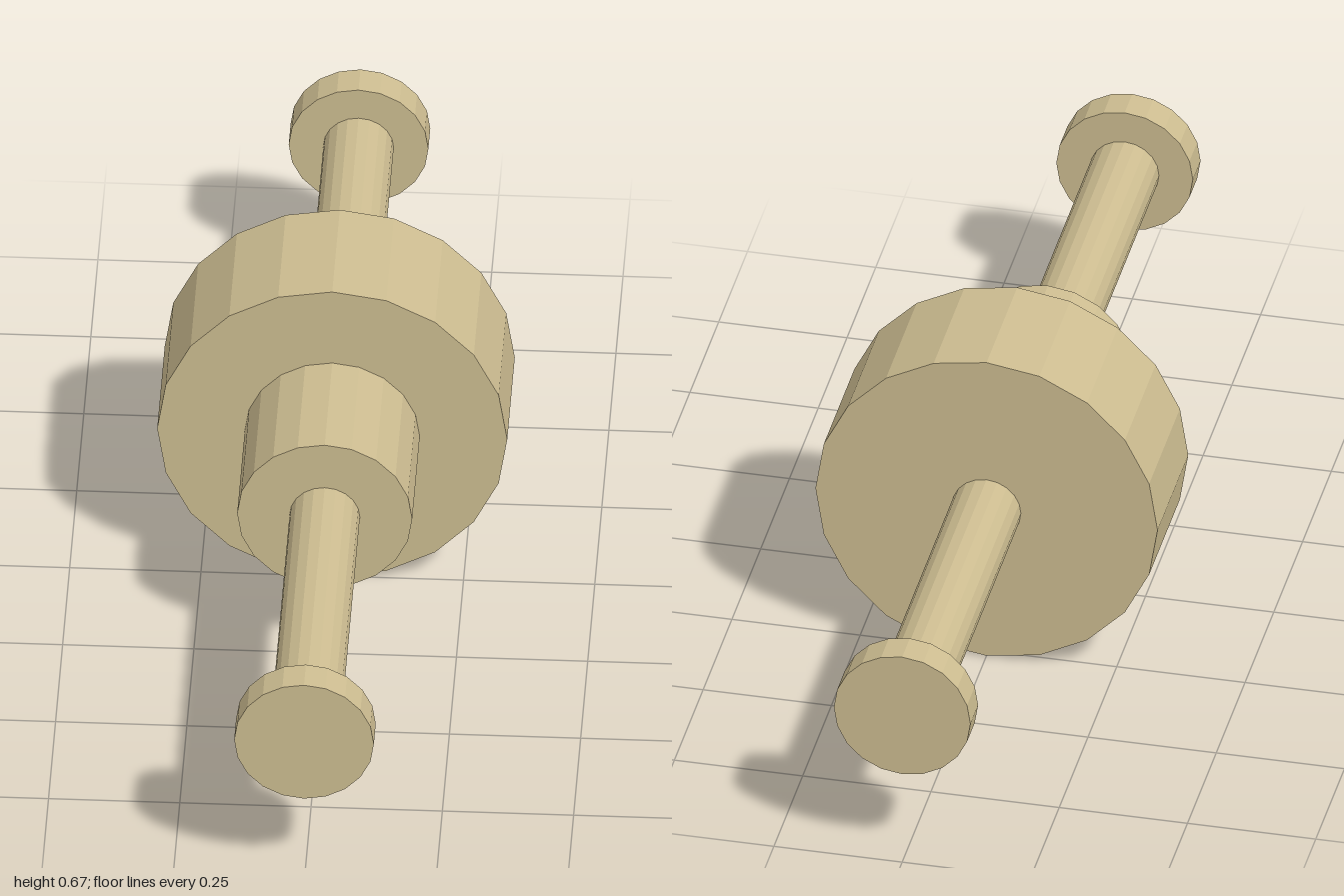
import * as THREE from 'three';

const AXIS_Y = 1 / 3;
const SIDES = 20;

export function createModel() {
  const model = new THREE.Group();
  model.name = 'wheelAndAxle';
  const material = new THREE.MeshStandardMaterial({ color: 0xcdbd91, flatShading: true });

  // Faceted disc or rod lying along z, between two depths
  const addCylinder = (name, radius, zBack, zFront) => {
    const geometry = new THREE.CylinderGeometry(radius, radius, zFront - zBack, SIDES);
    geometry.rotateX(Math.PI / 2);
    const mesh = new THREE.Mesh(geometry, material);
    mesh.name = name;
    mesh.position.set(0, AXIS_Y, (zBack + zFront) / 2);
    model.add(mesh);
  };

  // Large wheel behind, smaller drum in front
  addCylinder('wheel', 1 / 3, -0.267, 0);
  addCylinder('drum', 1 / 6, 0, 0.267);

  // Axle halves, each ending in a cap
  addCylinder('frontAxle', 0.067, 0.267, 0.933);
  addCylinder('backAxle', 0.067, -0.933, -0.267);
  addCylinder('frontCap', 0.133, 0.933, 1);
  addCylinder('backCap', 0.133, -1, -0.933);

  return model;
}
